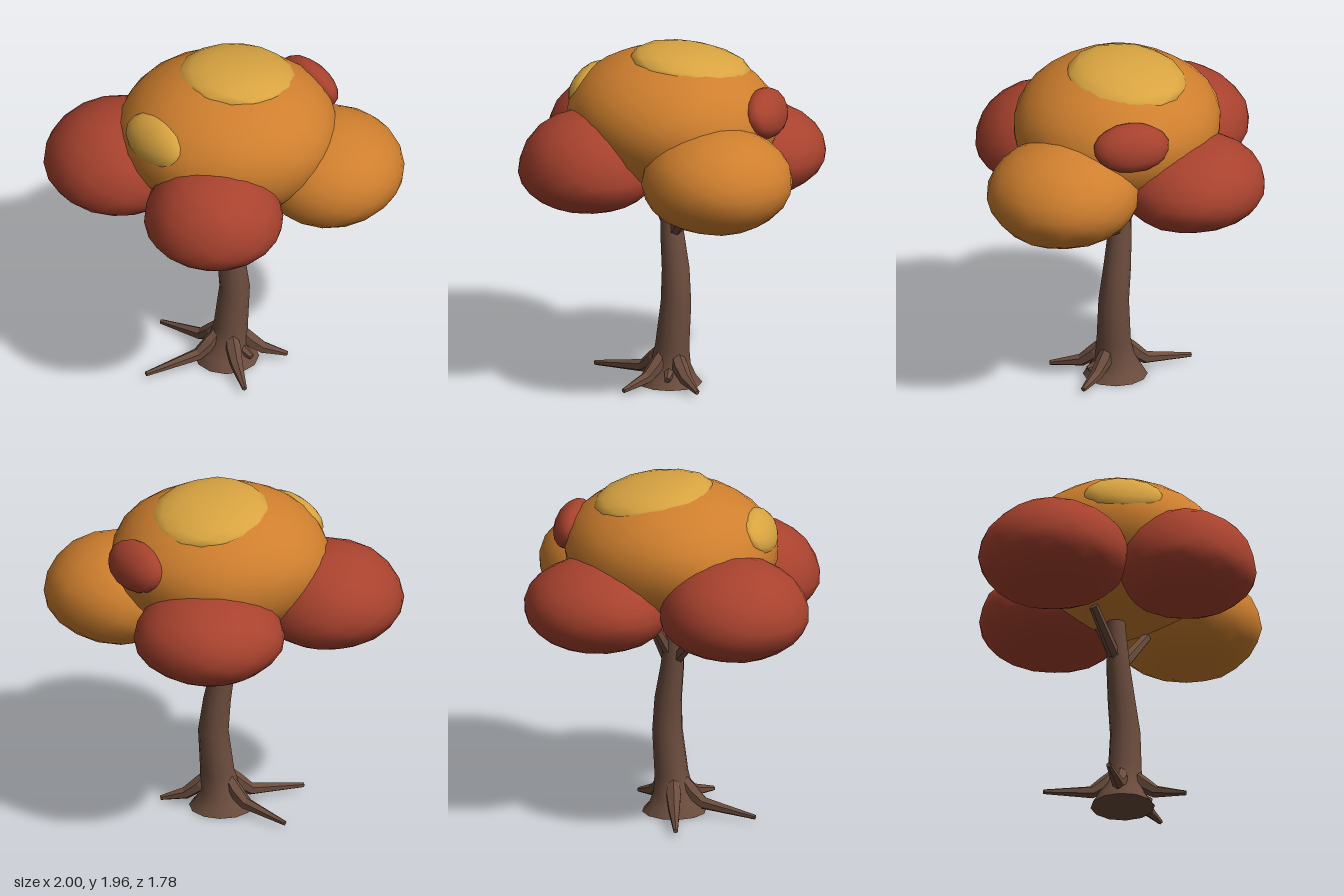
import * as THREE from 'three';
import { mergeVertices } from 'three/addons/utils/BufferGeometryUtils.js';

const paint = (name, color) => {
  const m = new THREE.MeshStandardMaterial({ color });
  m.name = name;
  return m;
};

// Rounded foliage mass: separate radius above and below its widest line, faintly uneven
function blob(rx, up, down, rz, detail, seed) {
  let g = new THREE.IcosahedronGeometry(1, detail);
  g.deleteAttribute('normal');
  g.deleteAttribute('uv');
  g = mergeVertices(g, 1e-4);
  const p = g.attributes.position;
  for (let i = 0; i < p.count; i++) {
    const x = p.getX(i), y = p.getY(i), z = p.getZ(i);
    const k = 1 + 0.012 * Math.sin(4 * x + seed) * Math.cos(5 * z - seed + 3 * y);
    p.setXYZ(i, x * rx * k, y * (y > 0 ? up : down) * k, z * rz * k);
  }
  g.computeVertexNormals();
  return g;
}

// Capped limb through [x, y, z, radius] stations
function limb(stations, sides, faceted) {
  const pts = stations.map(([x, y, z]) => new THREE.Vector3(x, y, z));
  const n = pts.length, pos = [], index = [];
  const span = pts[n - 1].clone().sub(pts[0]);
  const ref = new THREE.Vector3(-span.z, 0, span.x).normalize();
  const ring = (i) => {
    const t = pts[Math.min(i + 1, n - 1)].clone().sub(pts[Math.max(i - 1, 0)]).normalize();
    const u = t.clone().cross(ref).normalize(), v = t.clone().cross(u);
    for (let j = 0; j < sides; j++) {
      const a = (j / sides) * Math.PI * 2;
      const q = pts[i].clone()
        .addScaledVector(u, Math.cos(a) * stations[i][3])
        .addScaledVector(v, Math.sin(a) * stations[i][3]);
      pos.push(q.x, q.y, q.z);
    }
  };
  for (let i = 0; i < n; i++) ring(i);
  for (let i = 0; i < n - 1; i++) {
    for (let j = 0; j < sides; j++) {
      const a = i * sides + j, b = i * sides + (j + 1) % sides;
      index.push(a, b, a + sides, b, b + sides, a + sides);
    }
  }
  // end caps with their own vertices so the rims stay sharp
  for (const end of [0, n - 1]) {
    const s = pos.length / 3;
    ring(end);
    pos.push(...pts[end].toArray());
    for (let j = 0; j < sides; j++) {
      const a = s + j, b = s + (j + 1) % sides;
      if (end) index.push(s + sides, a, b);
      else index.push(s + sides, b, a);
    }
  }
  let g = new THREE.BufferGeometry();
  g.setAttribute('position', new THREE.Float32BufferAttribute(pos, 3));
  g.setIndex(index);
  if (faceted) g = g.toNonIndexed();
  g.computeVertexNormals();
  return g;
}

export function createModel() {
  const tree = new THREE.Group();
  tree.name = 'autumnTree';
  const bark = paint('bark brown', 0x6b4c3d);
  const orange = paint('leaf orange', 0xcf7f2e);
  const red = paint('leaf red', 0xa8422e);
  const gold = paint('leaf gold', 0xd9a441);

  const add = (name, geometry, material, at = [0, 0, 0]) => {
    const m = new THREE.Mesh(geometry, material);
    m.name = name;
    m.position.set(...at);
    tree.add(m);
    return m;
  };

  // Trunk: flared foot and a gentle S-bend
  add('trunk', limb([
    [0.01, 0, 0.02, 0.18], [0.01, 0.05, 0.02, 0.145], [0.02, 0.12, 0.02, 0.11],
    [0.033, 0.22, 0.02, 0.095], [0.055, 0.47, 0.01, 0.085], [0.035, 0.66, -0.002, 0.077],
    [0, 0.86, -0.003, 0.066], [-0.02, 1.06, -0.005, 0.056], [-0.025, 1.16, -0.005, 0.052],
  ], 12, false), bark);

  // Roots: drop steeply from the trunk, then run out to thin tips
  const cx = 0.02, cz = 0.02;
  for (const [x, z] of [[-0.455, 0.2], [0.345, 0.07], [0.08, 0.385], [-0.33, -0.29]]) {
    const len = Math.hypot(x - cx, z - cz), dx = (x - cx) / len, dz = (z - cz) / len;
    const at = (d, y, r) => [cx + dx * d, y, cz + dz * d, r];
    add('root', limb([
      at(0.06, 0.185, 0.035), at(0.11, 0.125, 0.046), at(0.19, 0.065, 0.036), at(len, 0.028, 0.014),
    ], 6, true), bark);
  }
  add('rootStub', limb([[0.08, 0.09, 0.07, 0.035], [0.14, 0.06, 0.13, 0.018]], 6, true), bark);

  // Branches reaching up into the leaves
  const branches = [
    ['leftBranch', [0.01, 0.86, 0, 0.04], [0.29, 1.17, 0.03, 0.027]],
    ['rightBranch', [-0.01, 0.88, 0, 0.036], [-0.26, 1.13, -0.01, 0.027]],
    ['backBranch', [-0.01, 0.92, -0.02, 0.034], [0.03, 1.18, -0.16, 0.026]],
  ];
  for (const [name, a, b] of branches) add(name, limb([a, b], 6, true), bark);

  // Crown and the four lobes round it
  const crown = new THREE.Vector3(0.02, 1.54, 0.005);
  add('crown', blob(0.615, 0.395, 0.43, 0.575, 4, 1), orange, crown.toArray());
  add('leftLobe', blob(0.42, 0.31, 0.28, 0.425, 3, 2), orange, [0.575, 1.31, 0.095]);
  add('rightLobe', blob(0.42, 0.32, 0.25, 0.42, 3, 3), red, [-0.58, 1.31, -0.08]);
  add('frontLobe', blob(0.39, 0.345, 0.225, 0.39, 3, 4), red, [-0.1, 1.285, 0.495]);
  add('backLobe', blob(0.42, 0.28, 0.24, 0.41, 3, 5), red, [0.1, 1.28, -0.48]);

  // Leaf patches: flattened blobs lying along the crown's surface
  const patch = (name, material, at, width, thick, height, seed) => {
    const m = add(name, blob(width, thick, thick, height, 2, seed), material, at);
    const d = m.position.clone().sub(crown);
    const normal = new THREE.Vector3(d.x / 0.378, d.y / 0.156, d.z / 0.33).normalize();
    const side = new THREE.Vector3(0, 1, 0).cross(normal).normalize();
    m.quaternion.setFromRotationMatrix(
      new THREE.Matrix4().makeBasis(side, normal, side.clone().cross(normal)));
  };
  patch('topPatch', gold, [0.075, 1.835, -0.075], 0.335, 0.112, 0.345, 6);
  patch('frontPatch', gold, [-0.41, 1.675, 0.27], 0.225, 0.085, 0.135, 7);
  patch('backPatch', red, [0.5, 1.63, -0.29], 0.215, 0.1, 0.14, 8);

  return tree;
}
